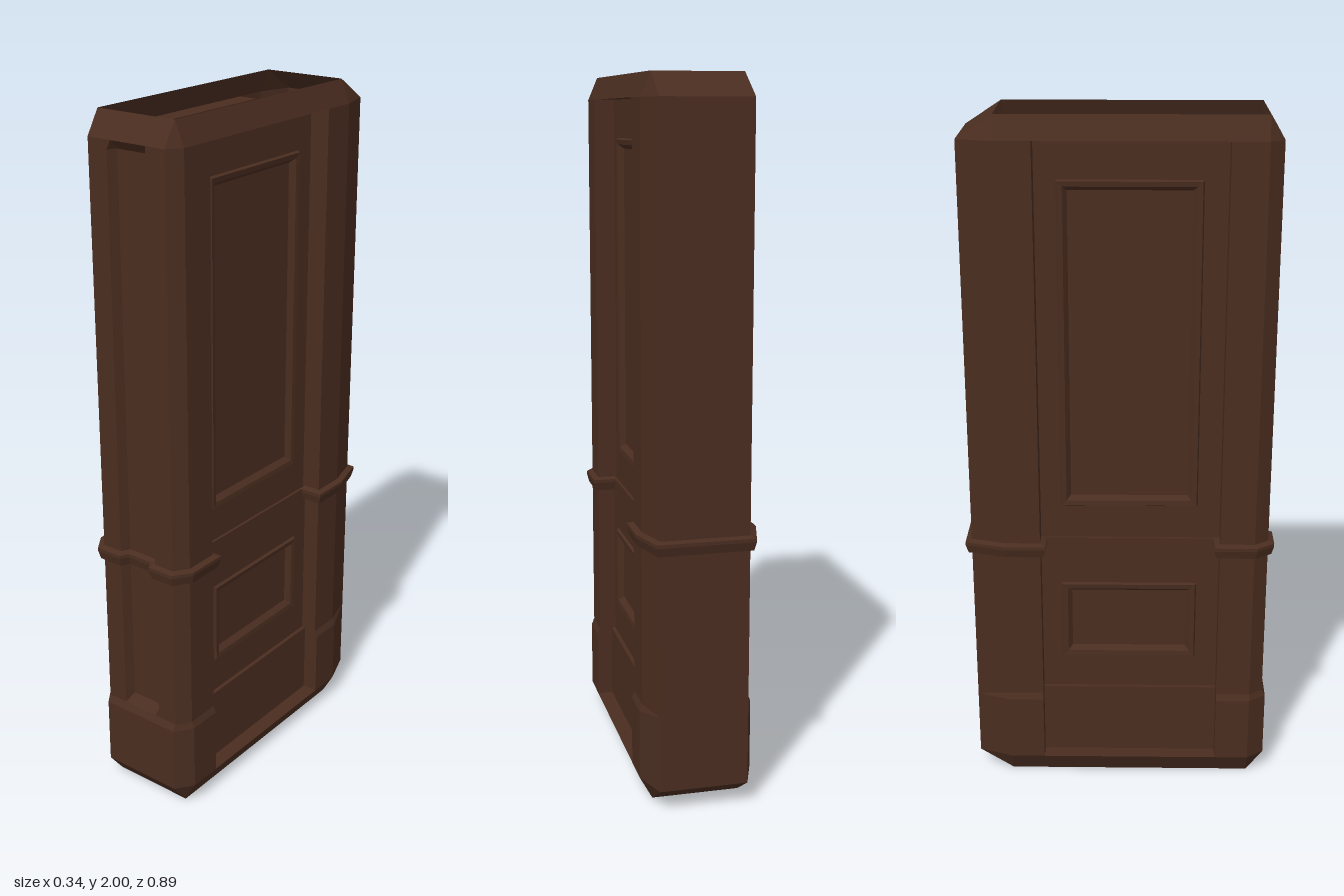
import * as THREE from 'three';

const material = new THREE.MeshStandardMaterial({ color: 0x4a2d20, flatShading: true, side: THREE.DoubleSide });
const V = (x, y, z) => new THREE.Vector3(x, y, z);

// recess limits along z
const Z_FRONT = 0.29, Z_BACK = -0.23;

function mesh(name, geometry) {
  const m = new THREE.Mesh(geometry, material);
  m.name = name;
  return m;
}

// Flat-shaded skin between successive rings of points
function loft(rings, closed, skip = () => false) {
  const pos = [];
  const tri = (a, b, c) => {
    const area = b.clone().sub(a).cross(c.clone().sub(a)).length();
    if (area > 1e-8) for (const p of [a, b, c]) pos.push(p.x, p.y, p.z);
  };
  for (let i = 0; i < rings.length - 1; i++) {
    const n = rings[i].length;
    for (let j = 0; j < (closed ? n : n - 1); j++) {
      const k = (j + 1) % n;
      const a = rings[i][j], b = rings[i][k], c = rings[i + 1][k], d = rings[i + 1][j];
      if (skip(j, a, d)) continue;
      tri(a, b, c);
      tri(a, c, d);
    }
  }
  const g = new THREE.BufferGeometry();
  g.setAttribute('position', new THREE.Float32BufferAttribute(pos, 3));
  g.computeVertexNormals();
  return g;
}

// Plan outline at height y: half-width, front z, recess floor x, slot floor z
function outline(y, side, front, recess, slot, tip = false) {
  const cx = 0.125, back = tip ? -0.33 : -0.43;
  const half = [
    [0.05, slot], [0.063, front], [cx, front], [side, 0.39],
    [side, Z_FRONT], [recess, Z_FRONT], [recess, Z_BACK], [side, Z_BACK],
    [side, -0.33], [cx, back],
  ];
  const full = [...half, ...half.map(([x, z]) => [-x, z]).reverse()];
  return full.map(([x, z]) => V(x, y, z));
}

// Hollow shell with bevelled ends, plinth, side recesses and front slot
function shell() {
  const W = 0.153, P = 0.161, F = 0.43, S = 0.405;
  const rings = [
    outline(0, 0.125, 0.39, 0.125, 0.39, true),
    outline(0.065, P, 0.44, P, 0.44),
    outline(0.065, P, 0.44, 0.115, 0.44),
    outline(0.265, P, 0.44, 0.115, 0.44),
    outline(0.285, W, F, 0.115, F),
    outline(0.285, W, F, 0.103, F),
    outline(0.31, W, F, 0.103, S),
    outline(0.78, W, F, 0.103, S),
    outline(0.78, W, F, 0.095, S),
    outline(1.91, W, F, 0.095, S),
    outline(1.935, W, F, 0.095, F),
    outline(1.935, W, F, W, F),
    outline(2, 0.125, 0.39, 0.125, 0.39, true),
  ];
  // the recess floors are separate boards
  const skip = (j, a, d) => (j === 5 || j === 13) && a.y !== d.y && Math.abs(a.x) < 0.12 && Math.abs(d.x) < 0.12;
  return mesh('shell', loft(rings, true, skip));
}

const rect = (u0, u1, y0, y1) =>
  [[u0, y0], [u1, y0], [u1, y1], [u0, y1]].map(([u, y]) => new THREE.Vector2(u, y));

// Flat board facing +x, with an optional rectangular opening (u = -z)
function board(name, x, outer, hole) {
  const shape = new THREE.Shape(rect(...outer));
  if (hole) shape.holes.push(new THREE.Path(rect(...hole).reverse()));
  const m = mesh(name, new THREE.ShapeGeometry(shape).rotateY(Math.PI / 2).translate(x, 0, 0));
  return m;
}

// Board holding a sunk panel inside a raised moulding
function panelledBoard(name, x, y0, y1, p0, p1) {
  const group = new THREE.Group();
  group.name = name;
  const at = (inset) => [-0.225 + inset, 0.172 - inset, p0 + inset, p1 - inset];
  group.add(board('frame', x, [-Z_FRONT, -Z_BACK, y0, y1], at(0)));
  const profile = [[0, 0], [0.004, 0.008], [0.018, 0.006], [0.03, -0.01]];
  const rings = profile.map(([inset, h]) => rect(...at(inset)).map((p) => V(x + h, p.y, -p.x)));
  group.add(mesh('moulding', loft(rings, true)));
  group.add(board('sunkPanel', x - 0.01, at(0.03)));
  return group;
}

function sidePanels(name) {
  const group = new THREE.Group();
  group.name = name;
  group.add(
    board('baseboard', 0.115, [-Z_FRONT, -Z_BACK, 0.065, 0.285]),
    panelledBoard('lowerPanel', 0.103, 0.285, 0.78, 0.39, 0.635),
    panelledBoard('upperPanel', 0.095, 0.78, 1.935, 0.88, 1.825),
  );
  return group;
}

// Plan path pushed outwards with mitred corners
function offsetPath(path, dist, y) {
  const normal = (a, b) => new THREE.Vector2(b[1] - a[1], a[0] - b[0]).normalize();
  return path.map((p, i) => {
    const n1 = normal(path[Math.max(i - 1, 0)], path[Math.max(i, 1)]);
    const last = path.length - 1;
    const n2 = normal(path[Math.min(i, last - 1)], path[Math.min(i + 1, last)]);
    const m = n1.clone().add(n2).multiplyScalar(dist / (1 + n1.dot(n2)));
    return V(p[0] + m.x, y, p[1] + m.y);
  });
}

// Dado rail following the outline
function rail(name, half, sign) {
  const path = [
    ...half.map(([x, z]) => [x * sign, z]),
    ...half.map(([x, z]) => [-x * sign, z]).reverse(),
  ];
  const profile = [[0, 0.785], [0.017, 0.78], [0.017, 0.77], [0.01, 0.745], [0, 0.745]];
  return mesh(name, loft(profile.map(([d, y]) => offsetPath(path, d, y)), false));
}

export function createModel() {
  const model = new THREE.Group();
  model.name = 'panelledPier';
  model.add(shell());

  const left = sidePanels('leftPanels');
  const right = sidePanels('rightPanels');
  right.scale.x = -1;
  model.add(left, right);

  model.add(rail('frontRail',
    [[0.1, 0.29], [0.153, 0.29], [0.153, 0.39], [0.125, 0.43], [0.063, 0.43], [0.05, 0.405]], 1));
  model.add(rail('backRail',
    [[0.1, -0.23], [0.153, -0.23], [0.153, -0.33], [0.125, -0.43]], -1));
  return model;
}
